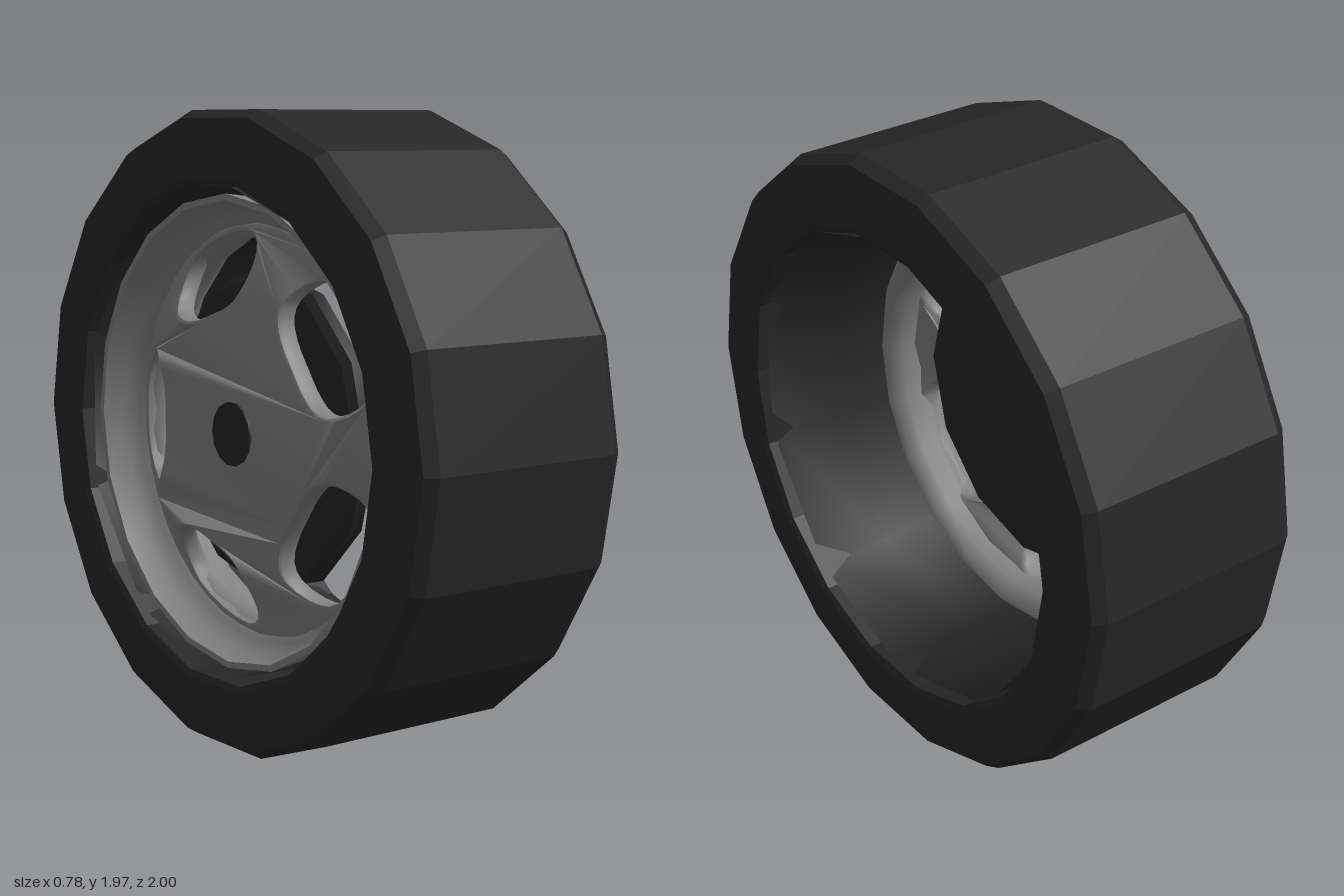
import * as THREE from 'three';
import { toCreasedNormals } from 'three/addons/utils/BufferGeometryUtils.js';

const AXLE_HEIGHT = 0.985;

export function createModel() {
  const rubber = new THREE.MeshStandardMaterial({ color: 0x272727 });
  rubber.name = 'black rubber';
  const darkMetal = new THREE.MeshStandardMaterial({ color: 0x252525, side: THREE.DoubleSide });
  darkMetal.name = 'dark metal';
  const silver = new THREE.MeshStandardMaterial({ color: 0x828282 });
  silver.name = 'silver alloy';

  const wheel = new THREE.Group();
  wheel.name = 'wheel';
  wheel.position.y = AXLE_HEIGHT;

  const add = (name, geometry, material) => {
    const mesh = new THREE.Mesh(geometry, material);
    mesh.name = name;
    wheel.add(mesh);
  };

  // Spins [radius, x] points about the x axle
  const turn = (points, sides, crease, start = 0) => {
    const profile = points.map(([r, x]) => new THREE.Vector2(r, x));
    const g = new THREE.LatheGeometry(profile, sides, start).rotateZ(-Math.PI / 2);
    return toCreasedNormals(g, crease);
  };

  // Tyre: faceted tread, bevelled shoulders, flat walls and an open bore
  add('tyre', turn([
    [0.77, -0.38], [0.79, -0.39], [0.89, -0.39], [0.975, -0.37], [1, -0.33],
    [1, 0.33], [0.975, 0.37], [0.89, 0.39], [0.79, 0.39], [0.77, 0.38], [0.77, -0.38],
  ], 18, 0.1), rubber);

  // Barrel: thin ten-sided liner, narrowest at the rim ring
  add('barrel', turn([
    [0.775, -0.35], [0.755, -0.2], [0.715, -0.06], [0.735, 0.12], [0.78, 0.35],
  ], 10, 0.8, Math.PI / 2), darkMetal);

  // Rim ring: flared outer lip and rounded back
  add('rimRing', turn([
    [0.735, -0.33], [0.72, -0.2], [0.69, -0.07], [0.665, -0.05], [0.635, -0.06],
    [0.615, -0.1], [0.61, -0.16], [0.63, -0.2], [0.665, -0.22], [0.695, -0.26],
    [0.715, -0.33], [0.735, -0.33],
  ].reverse().map((p) => p).reverse(), 20, 0.9), silver);

  // Wheel face: disc with five rounded windows, spokes curving back to the ring
  const face = new THREE.Shape().absarc(0, 0, 0.65, 0, Math.PI * 2);
  const windowEdge = [[0.38, 0], [0.39, 12], [0.43, 21], [0.49, 24], [0.57, 21], [0.615, 15], [0.62, 0]];
  const loop = [...windowEdge, ...windowEdge.slice(1, -1).reverse().map(([r, a]) => [r, -a])];
  for (let i = 0; i < 5; i++) {
    const middle = 36 + 72 * i;
    const points = loop.map(([r, a]) => {
      const t = THREE.MathUtils.degToRad(middle + a);
      return new THREE.Vector3(r * Math.cos(t), r * Math.sin(t), 0);
    });
    const curve = new THREE.CatmullRomCurve3(points, true);
    face.holes.push(new THREE.Path(curve.getPoints(28).slice(0, -1).map((p) => new THREE.Vector2(p.x, p.y))));
  }
  const faceGeometry = new THREE.ExtrudeGeometry(face, {
    depth: 0.04, curveSegments: 20, bevelEnabled: true,
    bevelThickness: 0.015, bevelSize: 0.012, bevelOffset: -0.012, bevelSegments: 2,
  });
  faceGeometry.rotateY(-Math.PI / 2).translate(-0.255, 0, 0);
  const pos = faceGeometry.attributes.position;
  for (let i = 0; i < pos.count; i++) {
    const r = Math.hypot(pos.getY(i), pos.getZ(i));
    pos.setX(i, pos.getX(i) + 0.1 * THREE.MathUtils.smoothstep(r, 0.42, 0.66));
  }
  faceGeometry.computeVertexNormals();
  add('wheelFace', toCreasedNormals(faceGeometry, 0.7), silver);

  // Brake drum: slightly domed twelve-sided disc behind the face
  add('brakeDrum', turn([
    [0, -0.21], [0.48, -0.21], [0.505, -0.19], [0.505, -0.15], [0.3, -0.13], [0, -0.125],
  ], 12, 0.6), darkMetal);

  // Hub cap: small dark disc in the middle of the face
  add('hubCap', new THREE.CylinderGeometry(0.1, 0.1, 0.06, 14).rotateZ(Math.PI / 2).translate(-0.285, 0, 0), darkMetal);

  const model = new THREE.Group();
  model.name = 'model';
  model.add(wheel);
  return model;
}
